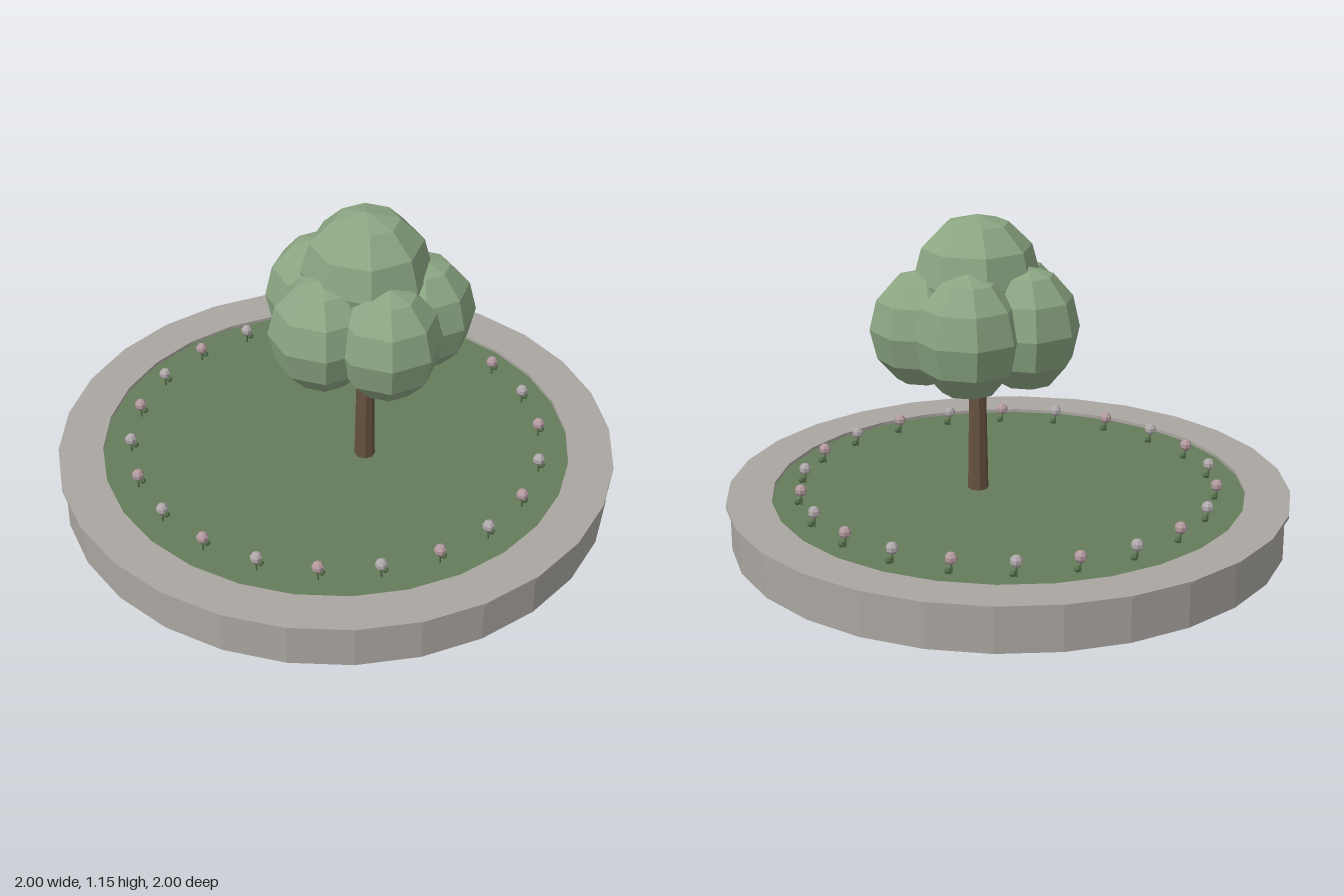
import * as THREE from 'three';

const mat = (color) => new THREE.MeshStandardMaterial({ color, flatShading: true });

function add(parent, name, geometry, material, x = 0, y = 0, z = 0) {
  const mesh = new THREE.Mesh(geometry, material);
  mesh.name = name;
  mesh.position.set(x, y, z);
  parent.add(mesh);
  return mesh;
}

// Closed ring with a rectangular section, from y0 to y1
function ring(inner, outer, y0, y1, sides) {
  const profile = [[inner, y0], [outer, y0], [outer, y1], [inner, y1], [inner, y0]];
  return new THREE.LatheGeometry(profile.map(([r, y]) => new THREE.Vector2(r, y)), sides);
}

export function createModel() {
  const model = new THREE.Group();
  model.name = 'roundTreePlanter';
  const SIDES = 28;
  const stone = mat(0xaaa6a1);
  const leaf = mat(0x8ba582);
  const stemGreen = mat(0x56704c);

  // Stone kerb with a slightly overhanging cap
  add(model, 'kerbWall', ring(0.86, 0.985, 0, 0.156, SIDES), stone);
  add(model, 'kerbCap', ring(0.84, 1, 0.156, 0.168, SIDES), stone);

  // Soil fill and lawn
  add(model, 'soil', new THREE.CylinderGeometry(0.862, 0.862, 0.125, SIDES), mat(0x46382f), 0, 0.0665, 0);
  add(model, 'lawn', new THREE.CylinderGeometry(0.862, 0.862, 0.021, SIDES), mat(0x647c5b), 0, 0.1395, 0);

  // Tree
  const tree = new THREE.Group();
  tree.name = 'tree';
  tree.position.set(0.1, 0, 0.06);
  model.add(tree);
  add(tree, 'trunk', new THREE.CylinderGeometry(0.026, 0.037, 0.6, 8), mat(0x66523f), 0, 0.45, 0);

  // Crown: one top clump over a ring of five
  const clump = new THREE.SphereGeometry(1, 8, 6);
  add(tree, 'crownTop', clump, leaf, 0, 0.93, 0).scale.setScalar(0.224);
  for (let i = 0; i < 5; i++) {
    const a = (i / 5) * Math.PI * 2;
    const tall = i > 2 ? 0.222 : 0.21; // the rear clumps stand a little taller
    add(tree, 'crownClump', clump, leaf, 0.19 * Math.cos(a), tall + 0.548, 0.19 * Math.sin(a))
      .scale.set(0.188, tall, 0.188);
  }

  // Circle of small flowers
  const bloomMats = [mat(0xb39a9f), mat(0xb0a9ab)];
  const bloom = new THREE.SphereGeometry(0.022, 7, 5);
  const stem = new THREE.CylinderGeometry(0.004, 0.004, 0.045, 5);
  const smallLeaf = new THREE.SphereGeometry(0.012, 6, 4);
  const COUNT = 22;
  for (let i = 0; i < COUNT; i++) {
    const a = (i / COUNT) * Math.PI * 2;
    const flower = new THREE.Group();
    flower.name = 'flower';
    flower.position.set(0.738 * Math.cos(a), 0.15, 0.738 * Math.sin(a));
    add(flower, 'stem', stem, stemGreen, 0, 0.02, 0);
    add(flower, 'bloom', bloom, bloomMats[i % 2], 0, 0.054, 0);
    add(flower, 'leaf', smallLeaf, stemGreen, 0.014, 0.018, -0.014);
    model.add(flower);
  }

  return model;
}
